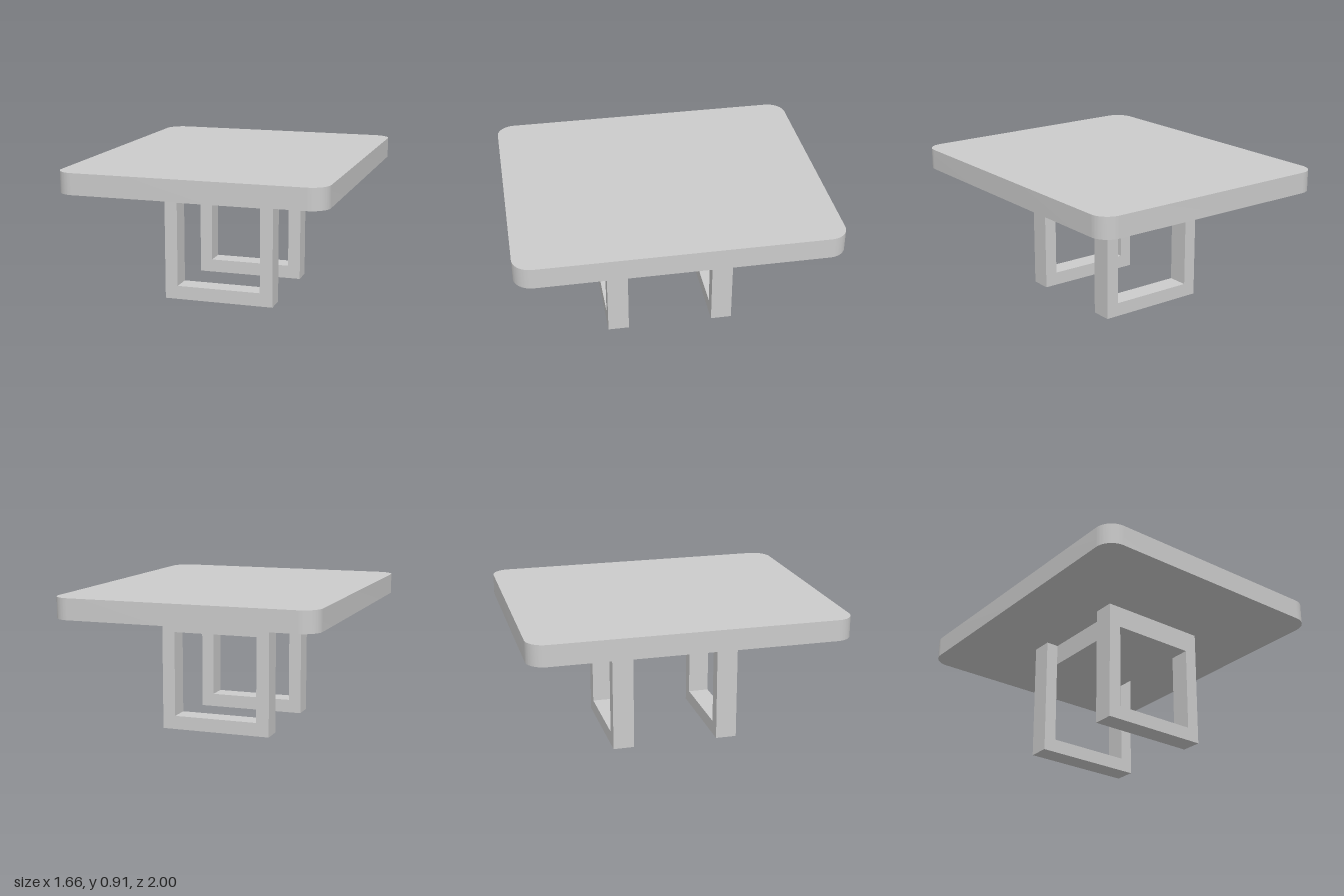
import * as THREE from 'three';
import { toCreasedNormals } from 'three/addons/utils/BufferGeometryUtils.js';

const material = new THREE.MeshStandardMaterial({ color: 0xcccccc });

const HEIGHT = 0.905, UNDERSIDE = 0.772; // tabletop faces
const LEG_X = 0.358, HOLE_X = 0.275;     // frame half widths
const HOLE_BOTTOM = 0.087, HOLE_TOP = 0.633;
const LEG_IN = 0.275, LEG_OUT = 0.41;    // frame depth along z

function addMesh(parent, name, geometry) {
  const mesh = new THREE.Mesh(geometry, material);
  mesh.name = name;
  parent.add(mesh);
  return mesh;
}

function rectangle(target, x, y0, y1) {
  target.moveTo(-x, y0).lineTo(x, y0).lineTo(x, y1).lineTo(-x, y1).closePath();
  return target;
}

function roundedRectangle(x, y, r) {
  const shape = new THREE.Shape();
  shape.absarc(x - r, y - r, r, 0, Math.PI / 2);
  shape.absarc(-x + r, y - r, r, Math.PI / 2, Math.PI);
  shape.absarc(-x + r, -y + r, r, Math.PI, Math.PI * 1.5);
  shape.absarc(x - r, -y + r, r, Math.PI * 1.5, Math.PI * 2);
  shape.closePath();
  return shape;
}

export function createModel() {
  const table = new THREE.Group();
  table.name = 'table';

  // Thick top with rounded corners
  const top = new THREE.ExtrudeGeometry(roundedRectangle(0.83, 1, 0.115), {
    depth: HEIGHT - UNDERSIDE, bevelEnabled: false, curveSegments: 12,
  });
  top.rotateX(-Math.PI / 2);
  addMesh(table, 'tabletop', toCreasedNormals(top, 0.5)).position.y = UNDERSIDE;

  // Two square loop legs, front and back
  const frame = rectangle(new THREE.Shape(), LEG_X, 0, UNDERSIDE);
  frame.holes.push(rectangle(new THREE.Path(), HOLE_X, HOLE_BOTTOM, HOLE_TOP));
  const legGeometry = new THREE.ExtrudeGeometry(frame, { depth: LEG_OUT - LEG_IN, bevelEnabled: false });
  addMesh(table, 'frontLegFrame', legGeometry).position.z = LEG_IN;
  addMesh(table, 'backLegFrame', legGeometry).position.z = -LEG_OUT;

  // Solid block joining the frames under the top
  const block = new THREE.BoxGeometry(HOLE_X * 2, UNDERSIDE - HOLE_TOP, LEG_IN * 2);
  addMesh(table, 'connectingBlock', block).position.y = (UNDERSIDE + HOLE_TOP) / 2;

  return table;
}
